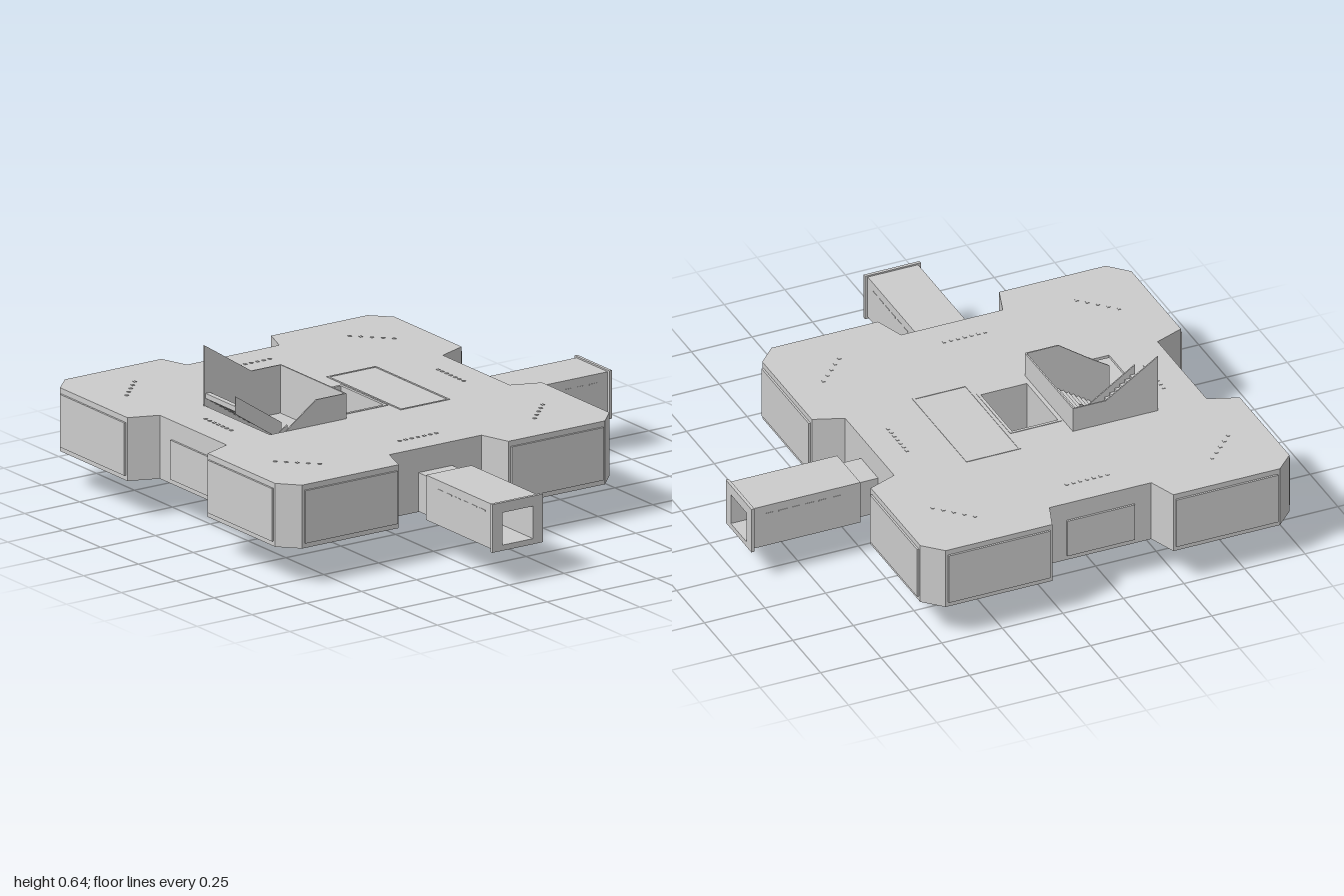
import * as THREE from 'three';

const mat = new THREE.MeshStandardMaterial({ color: 0xcccccc, flatShading: true, side: THREE.DoubleSide });
const BASE = 0.15, TOP = 0.4, CX = -0.21, CZ = -0.21;

function add(parent, geo, name) {
  const m = new THREE.Mesh(geo, mat);
  m.name = name;
  parent.add(m);
  return m;
}
// box given by its minimum and maximum corners
function box(parent, name, x0, x1, y0, y1, z0, z1) {
  const m = add(parent, new THREE.BoxGeometry(x1 - x0, y1 - y0, z1 - z0), name);
  m.position.set((x0 + x1) / 2, (y0 + y1) / 2, (z0 + z1) / 2);
  return m;
}
const poly = pts => new THREE.Shape(pts.map(p => new THREE.Vector2(p[0], p[1])));
const rect = (x0, x1, y0, y1) => [[x0, y0], [x1, y0], [x1, y1], [x0, y1]];
const extrude = (shape, depth) => new THREE.ExtrudeGeometry(shape, { depth, bevelEnabled: false });
function frameShape(outer, inner) {
  const s = poly(outer);
  s.holes.push(poly(inner));
  return s;
}

// floor plan, six points per side: back, +x, front, -x
const plan = [
  [-0.90, -0.992], [-0.46, -0.992], [-0.42, -0.88], [0, -0.88], [0.04, -0.992], [0.48, -0.992],
  [0.552, -0.92], [0.552, -0.475], [0.435, -0.43], [0.435, 0.01], [0.552, 0.055], [0.552, 0.50],
  [0.48, 0.575], [0.04, 0.575], [0, 0.455], [-0.42, 0.455], [-0.46, 0.575], [-0.90, 0.575],
  [-0.972, 0.50], [-0.972, 0.055], [-0.855, 0.01], [-0.855, -0.43], [-0.972, -0.475], [-0.972, -0.92],
];
const flip = pts => pts.map(([x, z]) => [x, -z]);
const stairwell = rect(-0.65, -0.305, -0.43, 0);
const courtyard = rect(-0.29, -0.09, -0.34, -0.05);

// horizontal plate with the stairwell and courtyard cut out
function slab(parent, name, y, thickness) {
  const s = poly(flip(plan));
  s.holes.push(poly(flip(stairwell)), poly(flip(courtyard)));
  const m = add(parent, extrude(s, thickness), name);
  m.rotation.x = -Math.PI / 2;
  m.position.y = y;
}

// outer walls, one per plan edge, with doors and applied panels
function buildWalls(parent) {
  plan.forEach((a, i) => {
    const b = plan[(i + 1) % plan.length];
    const dx = b[0] - a[0], dz = b[1] - a[1], L = Math.hypot(dx, dz);
    const side = Math.floor(i / 6), part = i % 6, mid = L / 2;
    const wall = new THREE.Group();
    wall.name = 'outerWall';
    wall.position.set(a[0], 0, a[1]);
    wall.rotation.y = Math.atan2(-dz, dx);
    parent.add(wall);
    const face = poly(rect(0, L, BASE, TOP));
    if (part === 2 && (side === 1 || side === 2)) {
      face.holes.push(poly(rect(mid - 0.07, mid + 0.07, 0.165, 0.29)));
    }
    add(wall, extrude(face, 0.012), 'wallFace');
    if (part === 0 || part === 4) box(wall, 'wallPanel', 0.01, L - 0.01, 0.17, 0.378, -0.008, 0);
    if (part === 2 && (side === 0 || side === 3)) box(wall, 'recessPanel', mid - 0.14, mid + 0.14, 0.17, 0.325, -0.008, 0);
  });
}

// hollow passage running along local +z from the wall
function corridor(x, z, turn) {
  const g = new THREE.Group();
  g.name = 'corridor';
  const opening = rect(-0.07, 0.07, 0.162, 0.29);
  const sections = [
    ['corridorNeck', rect(-0.077, 0.077, 0.152, 0.305), 0, 0.09],
    ['corridorTube', rect(-0.104, 0.104, 0.147, 0.324), 0.088, 0.532],
    ['corridorEndFrame', rect(-0.115, 0.115, 0.14, 0.33), 0.53, 0.543],
  ];
  for (const [name, outline, z0, z1] of sections) {
    add(g, extrude(frameShape(outline, opening), z1 - z0), name).position.z = z0;
  }
  for (const s of [-1, 1]) {
    for (let i = 0; i < 6; i++) {
      const c = 0.17 + i * 0.055;
      box(g, 'corridorSideSlit', s * 0.1045 - 0.001, s * 0.1045 + 0.001, 0.285, 0.29, c, c + 0.035);
    }
  }
  g.position.set(x, 0, z);
  g.rotation.y = turn;
  return g;
}

// two flights, a landing and their side walls
function buildStairs() {
  const g = new THREE.Group();
  g.name = 'staircase';
  const upright = (name, pts, z, t = 0.005) => { add(g, extrude(poly(pts), t), name).position.z = z; };
  upright('backStairWall', [[-0.655, 0.15], [-0.64, 0.15], [-0.44, 0], [-0.44, 0.15], [-0.305, 0.15],
    [-0.305, 0.5], [-0.44, 0.5], [-0.655, 0.64]], -0.43);
  upright('frontStairWall', [[-0.65, 0.15], [-0.305, 0.15], [-0.305, 0.5], [-0.44, 0.5], [-0.58, 0.4], [-0.65, 0.355]], -0.003);
  upright('lowerRail', [[-0.64, 0.15], [-0.44, 0], [-0.44, 0.15]], -0.225);
  upright('backFlightRail', [[-0.44, 0.28], [-0.44, 0.35], [-0.65, 0.49], [-0.65, 0.42]], -0.232);
  upright('frontFlightRail', [[-0.44, 0.28], [-0.44, 0.35], [-0.65, 0.21], [-0.65, 0.15]], -0.195);
  box(g, 'landingWall', -0.309, -0.303, 0.15, 0.5, -0.43, 0.002);
  box(g, 'landing', -0.44, -0.306, 0.295, 0.31, -0.425, -0.003);
  const n = 10, run = 0.21 / n, rise = 0.14 / n;
  for (let i = 0; i < n; i++) {
    const x1 = -0.44 - i * run, up = 0.31 + (i + 1) * rise, down = 0.31 - (i + 1) * rise;
    box(g, 'backStep', x1 - run, x1, up - 0.02, up, -0.425, -0.23);
    box(g, 'frontStep', x1 - run, x1, down - 0.02, down, -0.193, -0.003);
  }
  return g;
}

// small roof lights in rows at the corners and beside each recess
function buildRoofLights(parent) {
  const dot = (x, z) => box(parent, 'roofLight', x - 0.006, x + 0.006, TOP, TOP + 0.002, z - 0.006, z + 0.006);
  for (const sx of [-1, 1]) for (const sz of [-1, 1]) {
    for (let i = -2; i <= 2; i++) dot(CX + sx * (0.55 + i * 0.03), CZ + sz * (0.55 - i * 0.03));
  }
  for (const s of [-1, 1]) for (let i = -3; i <= 3; i++) {
    dot(CX + i * 0.028, CZ + s * 0.55);
    dot(CX + s * 0.53, CZ + i * 0.028);
  }
}

export function createModel() {
  const root = new THREE.Group();
  root.name = 'buildingFloor';
  slab(root, 'floorSlab', BASE, 0.012);
  slab(root, 'roofSlab', TOP - 0.012, 0.012);
  buildWalls(root);

  // walls lining the courtyard shaft and the adjoining core room
  const ring = (name, outer, inner, y0, y1) => {
    const m = add(root, extrude(frameShape(flip(outer), flip(inner)), y1 - y0), name);
    m.rotation.x = -Math.PI / 2;
    m.position.y = y0;
  };
  ring('courtyardWalls', rect(-0.297, -0.083, -0.347, -0.043), rect(-0.285, -0.095, -0.335, -0.055), BASE, TOP + 0.002);
  ring('coreRoomWalls', rect(-0.075, 0.15, -0.46, 0.03), rect(-0.067, 0.142, -0.452, 0.022), BASE - 0.002, TOP + 0.002);

  root.add(buildStairs());
  root.add(corridor(CX, 0.455, 0));
  root.add(corridor(0.433, CZ, Math.PI / 2));
  buildRoofLights(root);
  return root;
}
